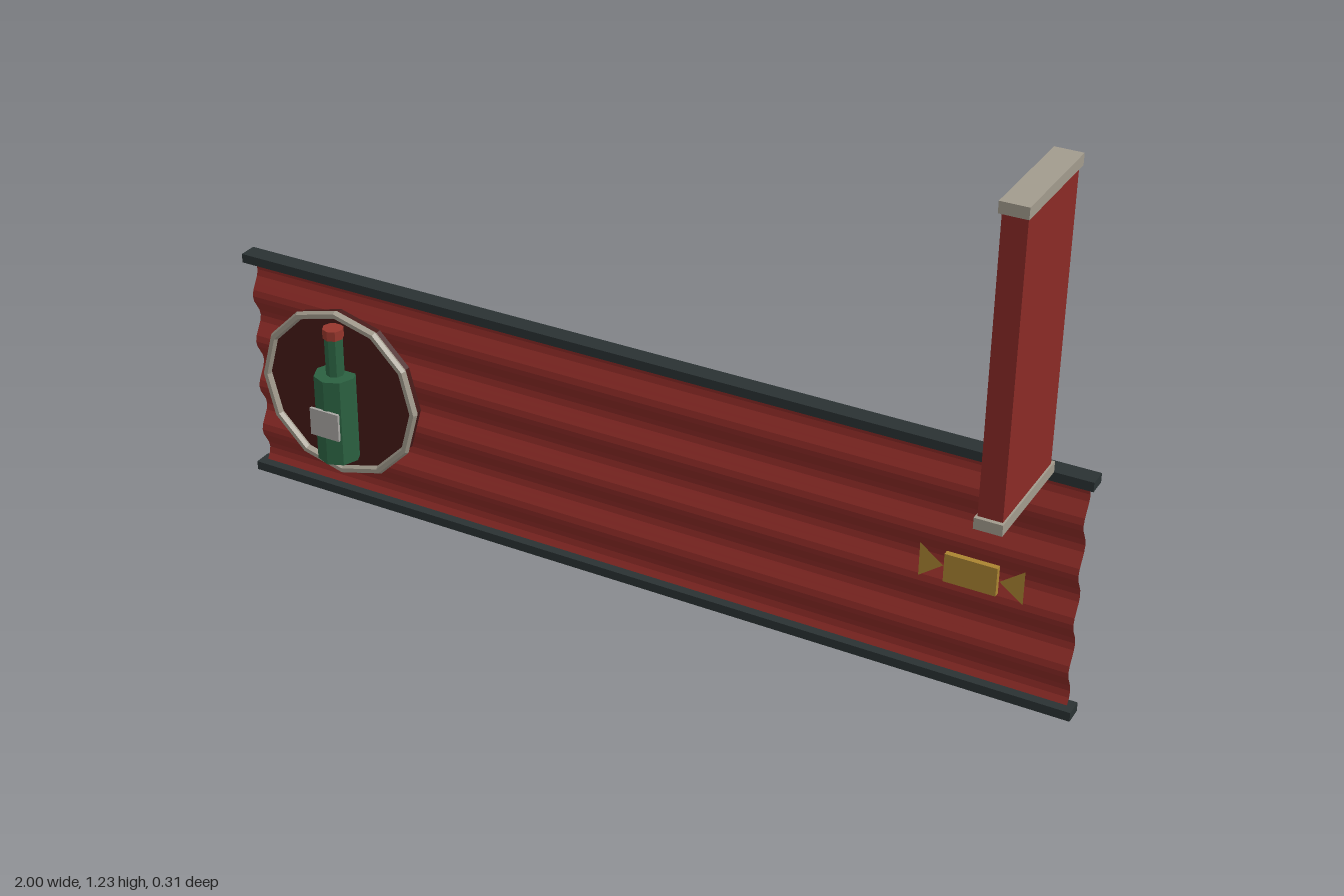
import * as THREE from 'three';

const paint = (color, side = THREE.FrontSide) =>
  new THREE.MeshStandardMaterial({ color, side, flatShading: true });

export function createModel() {
  const root = new THREE.Group();
  const red = paint(0x8a2a26), iron = paint(0x2a3233), stone = paint(0xa29b8d);
  const green = paint(0x2b6141), gold = paint(0xaa8431, THREE.DoubleSide);
  const maroon = paint(0x451917), cork = paint(0x96362c), paper = paint(0xa9a7a3);

  const add = (name, geo, mat, x, y, z, parent = root) => {
    const m = new THREE.Mesh(geo, mat);
    m.name = name;
    m.position.set(x, y, z);
    parent.add(m);
    return m;
  };
  const box = (w, h, d) => new THREE.BoxGeometry(w, h, d);
  const group = (name) => {
    const g = new THREE.Group();
    g.name = name;
    root.add(g);
    return g;
  };

  // Corrugated sheet: a plane rippled along its height, 4.5 waves
  const H = 0.52;
  const sheet = new THREE.PlaneGeometry(1.97, H, 1, 36);
  const p = sheet.attributes.position;
  for (let i = 0; i < p.count; i++) {
    const t = p.getY(i) / H + 0.5;
    p.setZ(i, -0.012 * Math.sin(t * 9 * Math.PI));
  }
  sheet.computeVertexNormals();
  add('corrugatedPanel', sheet, paint(0x8a2a26, THREE.DoubleSide), 0, 0.28, -0.132);

  // Rails along the top and bottom edges
  add('bottomRail', box(2, 0.021, 0.042), iron, 0, 0.0105, -0.132);
  add('topRail', box(2, 0.021, 0.042), iron, 0, 0.549, -0.132);

  // Round plaque with rim
  const plaque = group('plaque');
  plaque.position.set(-0.74, 0.284, 0);
  add('backDisc', new THREE.CylinderGeometry(0.2, 0.2, 0.016, 12), maroon, 0, 0, -0.11, plaque)
    .rotation.x = Math.PI / 2;
  add('rim', new THREE.TorusGeometry(0.197, 0.01, 6, 12), stone, 0, 0, -0.093, plaque);

  // Bottle on the plaque
  const bottle = group('bottle');
  bottle.position.set(-0.74, 0, -0.081);
  add('bottleBody', new THREE.CylinderGeometry(0.049, 0.049, 0.21, 8), green, 0, 0.235, 0, bottle);
  add('bottleNeck', new THREE.CylinderGeometry(0.021, 0.021, 0.1, 8), green, 0, 0.385, 0, bottle);
  add('bottleCap', new THREE.CylinderGeometry(0.024, 0.024, 0.023, 8), cork, 0, 0.443, 0, bottle);
  add('bottleLabel', box(0.075, 0.067, 0.007), paper, 0, 0.234, 0.049, bottle);

  // Wrapped sweet: block with two flat twisted ends
  const sweet = group('sweet');
  sweet.position.set(0.77, 0.282, -0.107);
  add('sweetBody', box(0.113, 0.065, 0.013), gold, 0, 0, 0, sweet);
  for (const s of [-1, 1]) {
    const tri = new THREE.Shape([
      new THREE.Vector2(s * 0.06, 0),
      new THREE.Vector2(s * 0.112, s * -0.039),
      new THREE.Vector2(s * 0.112, s * 0.039),
    ]);
    add(s > 0 ? 'leftWrapperEnd' : 'rightWrapperEnd', new THREE.ShapeGeometry(tri), gold, 0, 0, 0, sweet);
  }

  // Projecting upright sign with end caps and wall brackets
  const sign = group('hangingSign');
  sign.position.set(0.89, 0, 0);
  add('signBoard', box(0.05, 0.625, 0.245), red, 0, 0.894, 0.023, sign);
  for (const [side, yCap, yRod] of [['lower', 0.572, 0.608], ['upper', 1.215, 1.182]]) {
    add(side + 'Cap', box(0.058, 0.024, 0.265), stone, 0, yCap, 0.022, sign);
    add(side + 'Bracket', new THREE.CylinderGeometry(0.006, 0.006, 0.06, 8), iron, 0, yRod, -0.123, sign)
      .rotation.x = Math.PI / 2;
  }
  return root;
}
